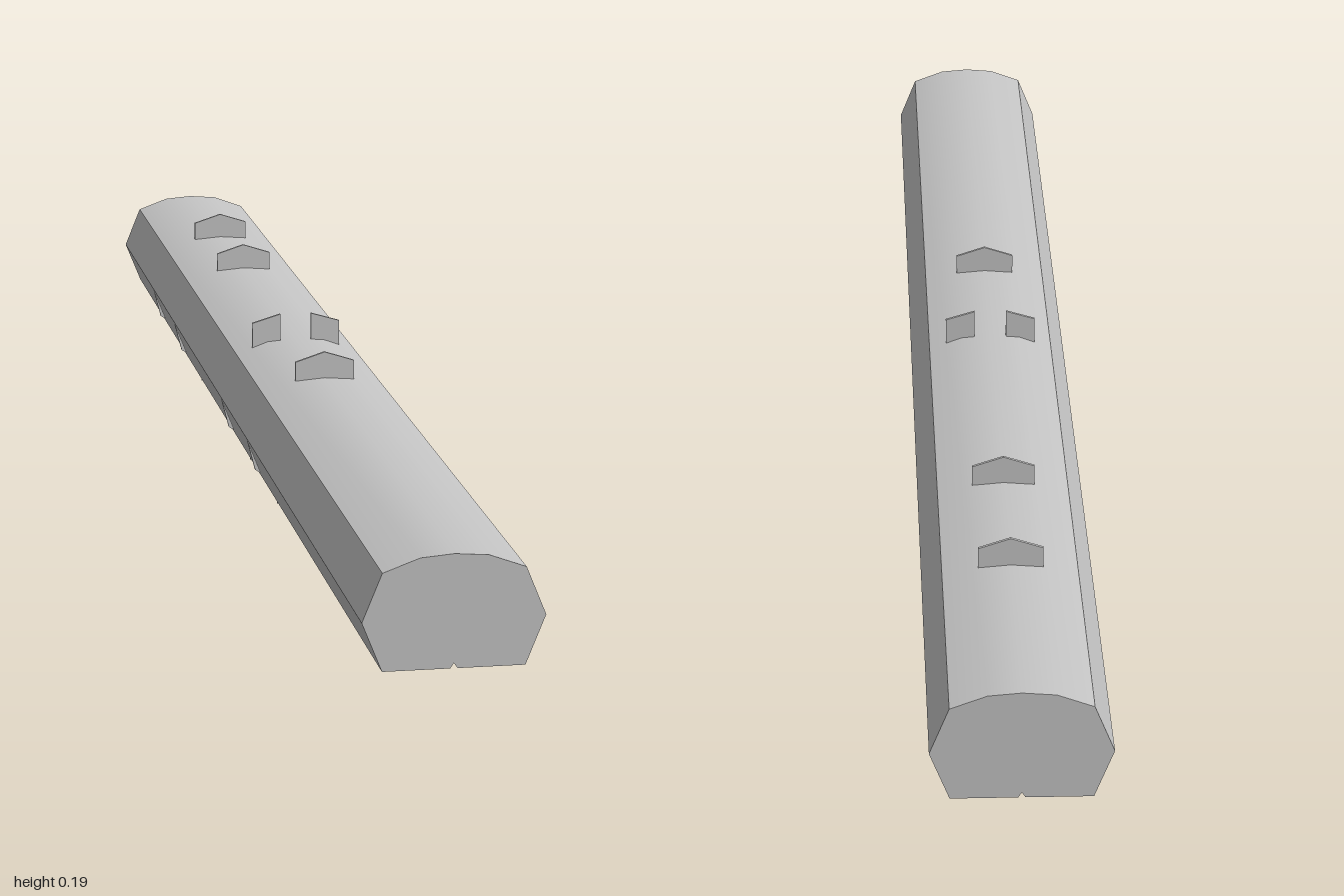
import * as THREE from 'three';
import { toCreasedNormals } from 'three/addons/utils/BufferGeometryUtils.js';

const grey = new THREE.MeshStandardMaterial({ color: 0xc4c4c4 });
grey.name = 'grey';

// Extrudes an x/y outline along z, centred on the given z
function prism(name, outline, depth, z = 0) {
  const shape = new THREE.Shape(outline.map(([x, y]) => new THREE.Vector2(x, y)));
  const raw = new THREE.ExtrudeGeometry(shape, { depth, bevelEnabled: false });
  raw.translate(0, 0, z - depth / 2);
  const mesh = new THREE.Mesh(toCreasedNormals(raw, 0.6), grey);
  mesh.name = name;
  return mesh;
}

// Completes a right-hand outline with its mirror image
const mirrored = (half) => [...half, ...half.map(([x, y]) => [-x, y]).reverse()];

export function createModel() {
  const model = new THREE.Group();
  model.name = 'finnedBeam';

  // Long body: flat underside with a fine groove, pointed flanks, arched top
  const right = [[0.004, 0.033], [0.078, 0.033], [0.1, 0.088], [0.078, 0.142], [0.037, 0.157]];
  const left = right.map(([x, y]) => [-x, y]).reverse();
  model.add(prism('body', [...right, [0, 0.16], ...left, [0, 0.039]], 2));

  const t = 0.004;
  // Single peaked fins on top
  for (const z of [0.195, -0.47, -0.69]) {
    const outline = [[-0.037, 0.15], [0.037, 0.15], [0.037, 0.181], [0, 0.193], [-0.037, 0.181]];
    model.add(prism('topFin', outline, t, z));
  }

  // Pair of fins beside the centre line
  for (const s of [1, -1]) {
    const outline = [[0.02, 0.15], [0.057, 0.145], [0.057, 0.182], [0.02, 0.193]];
    model.add(prism('pairedTopFin', outline.map(([x, y]) => [s * x, y]), t, -0.025));
  }

  // Feet below and small fins on the lower flanks
  for (const z of [0.195, -0.025, -0.47, -0.69]) {
    model.add(prism('bottomFin', mirrored([[0.06, 0], [0.06, 0.036]]), t, z));
    for (const s of [1, -1]) {
      const outline = [[0.076, 0.038], [0.088, 0.045], [0.099, 0.087]];
      model.add(prism('sideFin', outline.map(([x, y]) => [s * x, y]), t, z));
    }
  }
  return model;
}
